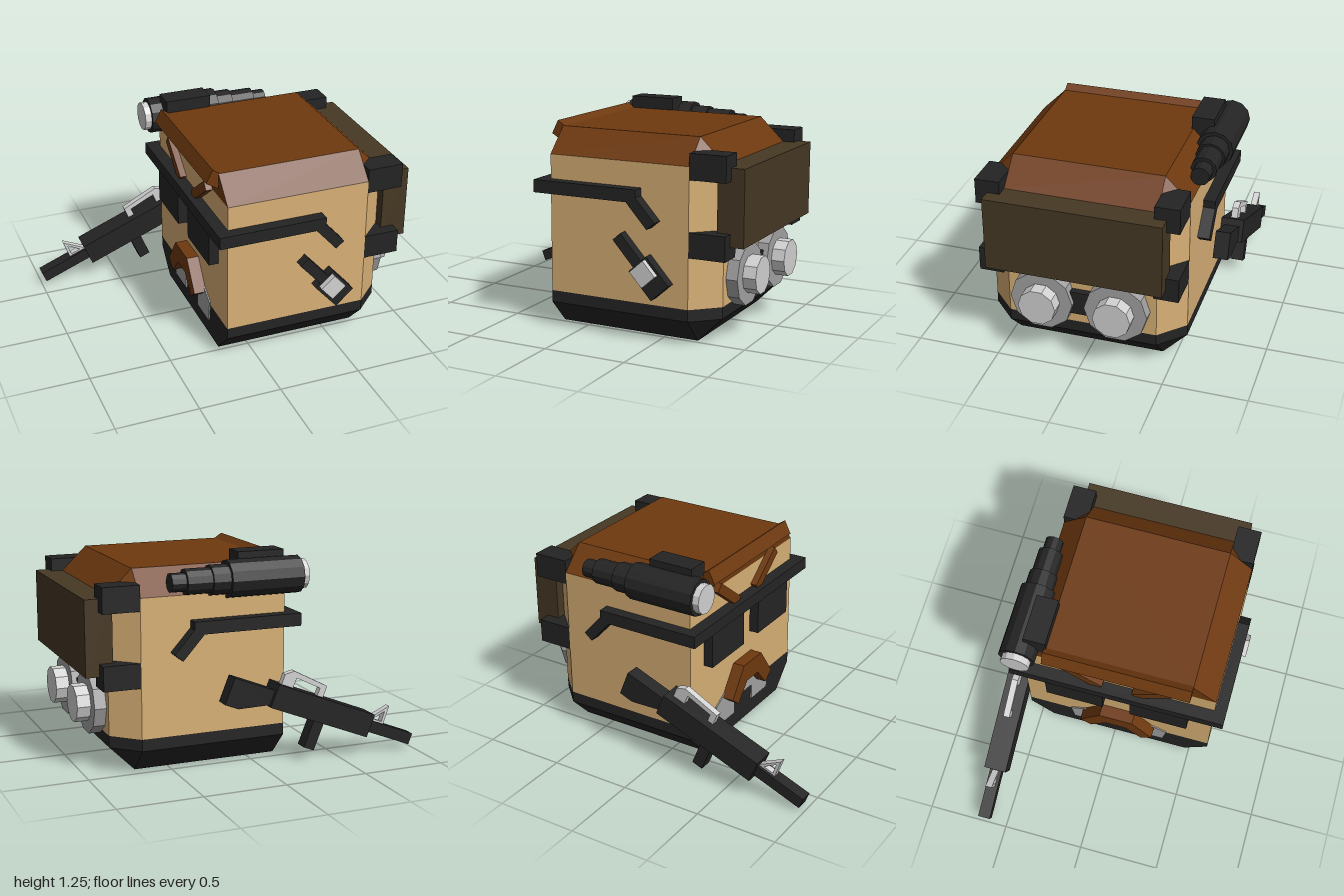
import * as THREE from 'three';

const mat = (name, color) => {
  const m = new THREE.MeshStandardMaterial({ color, flatShading: true });
  m.name = name;
  return m;
};

export function createModel() {
  const tan = mat('tan skin', 0xd8b076);
  const brown = mat('brown hair', 0x6e390f);
  const black = mat('black', 0x242424);
  const olive = mat('dark olive', 0x463824);
  const grey = mat('mid grey', 0xa2a2a2);
  const light = mat('light grey', 0xd2d2d2);
  const root = new THREE.Group();

  const add = (name, geo, m, parent = root) => {
    const mesh = new THREE.Mesh(geo, m);
    mesh.name = name;
    parent.add(mesh);
    return mesh;
  };
  // Box given by its minimum and maximum corners
  const box = (name, m, a, b, parent = root) => {
    const mesh = add(name, new THREE.BoxGeometry(b[0] - a[0], b[1] - a[1], b[2] - a[2]), m, parent);
    mesh.position.set((a[0] + b[0]) / 2, (a[1] + b[1]) / 2, (a[2] + b[2]) / 2);
    return mesh;
  };
  const shapeOf = (pts) => new THREE.Shape(pts.map((p) => new THREE.Vector2(p[0], p[1])));
  const prism = (pts, z0, z1, holes = []) => {
    const s = shapeOf(pts);
    holes.forEach((h) => s.holes.push(shapeOf(h)));
    const g = new THREE.ExtrudeGeometry(s, { depth: z1 - z0, bevelEnabled: false });
    return g.translate(0, 0, z0);
  };
  // Plate on the face side: points are (z, y), thickness goes towards -x
  const facePlate = (name, m, pts, depth) =>
    add(name, prism(pts, 0, depth).rotateY(-Math.PI / 2).translate(-0.18, 0, 0), m);
  // Cylinder along x
  const rod = (name, m, r, x0, x1, y, z, sides) =>
    add(name, new THREE.CylinderGeometry(r, r, x1 - x0, sides).rotateZ(-Math.PI / 2)
      .translate((x0 + x1) / 2, y, z), m);

  // Solid from horizontal rings of (x, z) points
  const loft = (rings) => {
    const v = [];
    const n = rings[0].pts.length;
    const p = (r, i) => [r.pts[i % n][0], r.y, r.pts[i % n][1]];
    for (let k = 0; k + 1 < rings.length; k++) {
      const lo = rings[k], hi = rings[k + 1];
      for (let i = 0; i < n; i++) {
        v.push(...p(lo, i), ...p(lo, i + 1), ...p(hi, i + 1));
        v.push(...p(lo, i), ...p(hi, i + 1), ...p(hi, i));
      }
    }
    const bottom = rings[0], top = rings[rings.length - 1];
    for (let i = 1; i + 1 < n; i++) {
      v.push(...p(top, 0), ...p(top, i), ...p(top, i + 1));
      v.push(...p(bottom, 0), ...p(bottom, i + 1), ...p(bottom, i));
    }
    const g = new THREE.BufferGeometry();
    g.setAttribute('position', new THREE.Float32BufferAttribute(v, 3));
    g.computeVertexNormals();
    return g;
  };

  // Head: bevelled at the rear, flat on the face side
  const full = [[-0.18, 0.615], [0.7, 0.615], [0.85, 0.47], [0.85, -0.42], [0.7, -0.565], [-0.18, -0.565]];
  const inner = [[-0.18, 0.47], [0.7, 0.47], [0.7, 0.47], [0.7, -0.42], [0.7, -0.42], [-0.18, -0.42]];
  add('collar', loft([{ y: 0, pts: inner }, { y: 0.15, pts: full }, { y: 0.22, pts: full }]), black);
  add('head', loft([{ y: 0.22, pts: full }, { y: 1.035, pts: full }]), tan);
  add('hair', loft([{ y: 1.035, pts: full }, { y: 1.18, pts: inner }]), brown);
  add('hairFringe', prism([[-0.17, 1.08], [-0.17, 1.18], [-0.215, 1.21], [-0.255, 1.13]], -0.42, 0.47), brown);

  // Rear corner brackets and pack
  for (const [z0, z1] of [[0.47, 0.615], [-0.565, -0.42]])
    for (const [y0, y1] of [[0.96, 1.11], [0.52, 0.665]])
      box('cornerBracket', black, [0.7, y0, z0], [0.92, y1, z1]);
  box('backPack', olive, [0.84, 0.59, -0.49], [1, 1.035, 0.545]);

  // Twin round canisters
  for (const z of [0.247, -0.197]) {
    rod('canisterRim', grey, 0.187, 0.84, 0.92, 0.373, z, 10);
    rod('canisterCap', light, 0.112, 0.92, 1, 0.373, z, 10);
  }
  box('canisterLink', black, [0.84, 0.3, -0.06], [0.89, 0.445, 0.11]);

  // Glasses
  box('glassesBar', black, [-0.255, 0.815, -0.635], [-0.18, 0.89, 0.685]);
  const temple = [[-0.255, 0.815], [0.345, 0.815], [0.475, 0.67], [0.525, 0.712], [0.405, 0.845], [0.405, 0.89], [-0.255, 0.89]];
  add('leftTemple', prism(temple, 0.615, 0.685), black);
  add('rightTemple', prism(temple, -0.635, -0.565), black);
  for (const s of [-1, 1]) {
    const z = 0.025 + s * 0.265;
    box('lens', black, [-0.24, 0.59, z - 0.18], [-0.18, 0.82, z + 0.18]);
    // Eyebrow slanting down towards the nose
    const brow = add('eyebrow', new THREE.BoxGeometry(0.04, 0.06, 0.28), brown);
    brow.position.set(-0.2, 0.97, 0.025 + s * 0.22);
    brow.rotation.x = -s * 0.66;
  }

  // Moustache arch and beard patch
  facePlate('moustache', brown, [[-0.21, 0.27], [-0.14, 0.215], [-0.04, 0.33], [0.09, 0.33], [0.19, 0.215], [0.26, 0.27], [0.13, 0.45], [-0.08, 0.45]], 0.075);
  facePlate('beard', grey, [[-0.29, 0.24], [-0.27, 0.1], [-0.08, 0.1], [-0.08, 0.2], [0.13, 0.2], [0.13, 0.1], [0.32, 0.1], [0.34, 0.24], [0.16, 0.34], [-0.11, 0.34]], 0.008);

  // Clip-on lamp on the left side
  const lamp = new THREE.Group();
  lamp.name = 'lamp';
  lamp.position.set(0.483, 0.388, 0);
  lamp.rotation.z = -0.84;
  root.add(lamp);
  box('lampBody', black, [-0.105, -0.073, 0.61], [0.105, 0.073, 0.675], lamp);
  box('lampHandle', black, [-0.3, -0.035, 0.61], [-0.1, 0.03, 0.675], lamp);
  box('lampGlass', light, [-0.095, -0.052, 0.61], [0.02, 0.058, 0.71], lamp);

  // Spotting scope on the right side of the hair
  const sy = 1.11, sz = -0.57;
  rod('scopeGlass', light, 0.088, -0.295, -0.25, sy, sz, 12);
  rod('scopeBody', black, 0.11, -0.255, 0.19, sy, sz, 12);
  rod('scopeMiddle', black, 0.088, 0.19, 0.295, sy, sz, 12);
  rod('scopeNeck', black, 0.075, 0.295, 0.445, sy, sz, 12);
  rod('scopeEyepiece', black, 0.055, 0.445, 0.53, sy, sz, 12);
  box('scopeMount', black, [-0.18, 1.11, -0.545], [0.105, 1.255, -0.41]);

  // Rifle, built along its own x axis from the muzzle
  const rifle = new THREE.Group();
  rifle.name = 'rifle';
  rifle.position.set(-0.985, 0.055, -0.64);
  rifle.rotation.z = 0.38;
  root.add(rifle);
  box('barrel', black, [0, -0.035, -0.038], [0.33, 0.035, 0.038], rifle);
  box('receiver', black, [0.32, -0.065, -0.07], [1, 0.078, 0.07], rifle);
  add('stock', prism([[0.99, -0.05], [1.18, -0.13], [1.27, -0.13], [1.27, 0.035], [0.99, 0.035]], -0.045, 0.045), black, rifle);
  box('magazine', black, [0.615, -0.235, -0.04], [0.685, -0.05, 0.04], rifle);
  add('carryHandle', prism([[0.67, 0.07], [0.71, 0.07], [0.71, 0.125], [0.88, 0.14], [0.88, 0.07], [0.96, 0.07], [0.96, 0.14], [0.91, 0.175], [0.67, 0.15]], -0.02, 0.02), light, rifle);
  add('frontSight', prism([[0.21, 0.03], [0.33, 0.03], [0.215, 0.15]], -0.02, 0.02,
    [[[0.228, 0.047], [0.232, 0.112], [0.292, 0.047]]]), light, rifle);

  return root;
}
